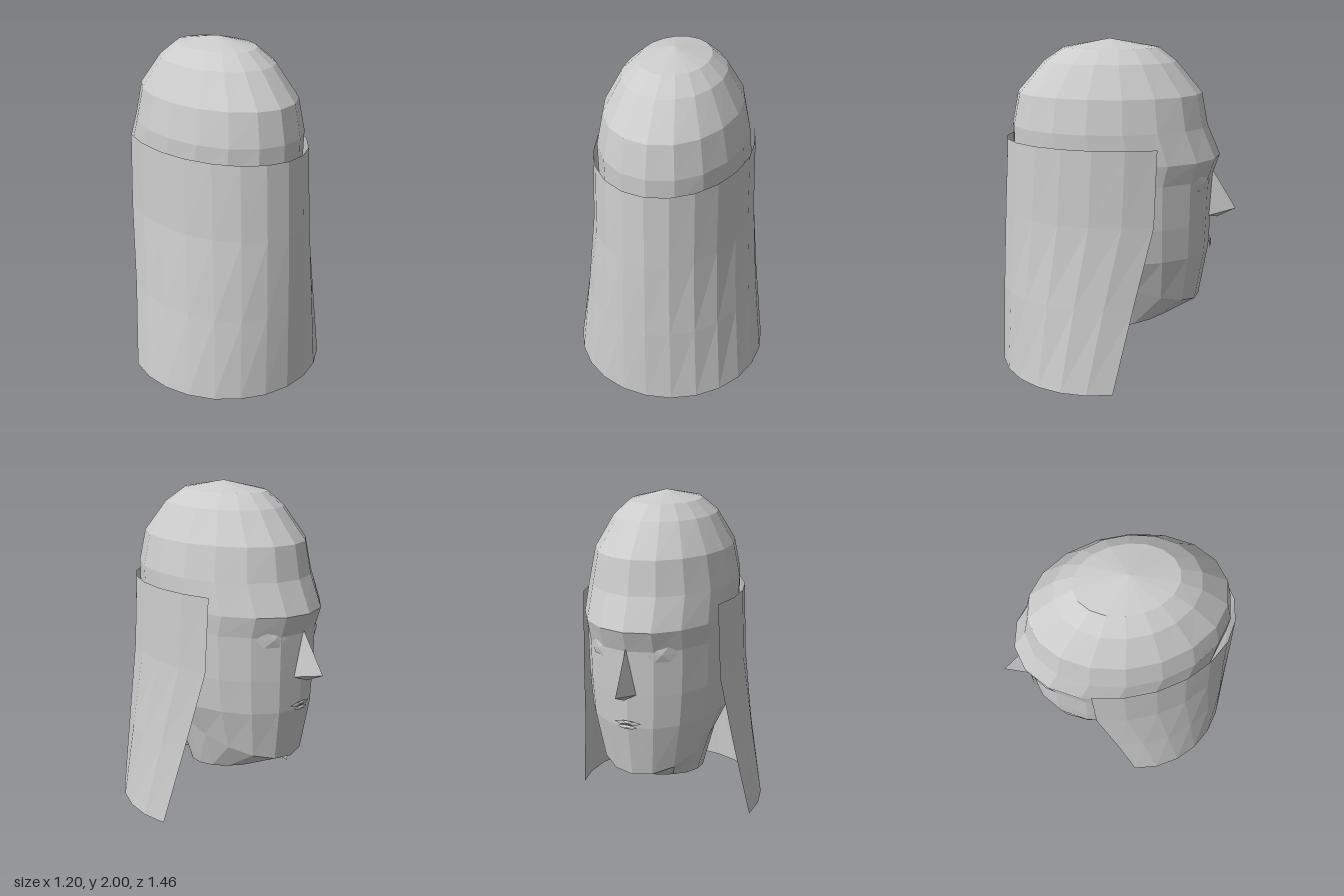
import * as THREE from 'three';

const stone = new THREE.MeshStandardMaterial({ color: 0xcccccc, side: THREE.DoubleSide, flatShading: true });
stone.name = 'pale grey';

// Joins rows of points (listed top to bottom, each running counter-clockwise from above)
function loft(name, rows) {
  const pos = [];
  for (let i = 0; i < rows.length - 1; i++) {
    for (let j = 0; j < rows[i].length - 1; j++) {
      const a = rows[i][j], b = rows[i][j + 1], c = rows[i + 1][j], d = rows[i + 1][j + 1];
      pos.push(...a, ...c, ...b, ...c, ...d, ...b);
    }
  }
  return solid(name, pos);
}

function solid(name, pos) {
  const g = new THREE.BufferGeometry();
  g.setAttribute('position', new THREE.Float32BufferAttribute(pos, 3));
  g.computeVertexNormals();
  const m = new THREE.Mesh(g, stone);
  m.name = name;
  return m;
}

// Elliptical row from -end to +end, measured from the +z side
function arc(rx, zMid, rz, end, n, height) {
  return Array.from({ length: n + 1 }, (_, k) => {
    const a = -end + (2 * end * k) / n;
    const z = zMid + rz * Math.cos(a);
    return [rx * Math.sin(a), height(z), z];
  });
}

// Depth of the face surface at a given x
const faceZ = (x) => 0.02 - 0.6 * Math.sqrt(1 - (x / 0.43) ** 2);

// Thin almond plate with a slightly raised centre, laid over the face
function almond(name, cx, cy, w, h, lift) {
  const pts = [[-1, 0], [-0.5, 0.8], [0.4, 1], [1, 0], [0.5, -1], [-0.5, -1]]
    .map(([u, v]) => [cx + u * w, cy + v * h, faceZ(cx + u * w) - 0.003]);
  const mid = [cx, cy, faceZ(cx) - lift];
  const pos = [];
  pts.forEach((p, i) => pos.push(...mid, ...p, ...pts[(i + 1) % pts.length]));
  return solid(name, pos);
}

export function createModel() {
  const model = new THREE.Group();

  // Head: y, half width, front z, back z, with an optional tilt for the jaw and neck
  const rings = [
    [2, 0, 0.04, 0.04], [1.95, 0.2, -0.25, 0.31], [1.87, 0.29, -0.355, 0.43],
    [1.69, 0.39, -0.508, 0.59], [1.5, 0.43, -0.545, 0.63], [1.32, 0.438, -0.625, 0.63],
    [1.2, 0.435, -0.585, 0.62], [0.94, 0.43, -0.58, 0.6], [0.74, 0.41, -0.572, 0.56],
    [0.42, 0.34, -0.52, 0.42, 0.32], [0.355, 0.27, -0.37, 0.24, -0.18], [0.3, 0, -0.065, -0.065],
  ];
  const headRows = rings.map(([y, rx, zf, zb, tilt = 0]) =>
    arc(rx, (zf + zb) / 2, (zb - zf) / 2, Math.PI, 18, (z) => y + tilt * (z - zf)));
  model.add(loft('head', headRows));

  // Long hair sheet, open at the face: y, half width, centre z, depth, end angle
  const hairRows = [
    [1.42, 0.46, 0.02, 0.645, 115], [0.98, 0.477, 0.03, 0.663, 114],
    [0.5, 0.53, 0.08, 0.635, 109], [0, 0.6, 0.13, 0.6, 104],
  ].map(([y, rx, c, rz, deg]) => arc(rx, c, rz, THREE.MathUtils.degToRad(deg), 14, () => y));
  model.add(loft('hair', hairRows));

  // Nose: a narrow pyramid
  const bridge = [0, 1.23, -0.58], tip = [0, 0.98, -0.732], base = [0, 0.925, -0.62];
  const wingL = [0.052, 0.945, -0.565], wingR = [-0.052, 0.945, -0.565];
  model.add(solid('nose', [
    ...bridge, ...wingL, ...tip, ...bridge, ...tip, ...wingR,
    ...tip, ...wingL, ...base, ...tip, ...base, ...wingR,
  ]));

  // Eyes
  for (const s of [1, -1]) {
    model.add(almond(s > 0 ? 'leftEye' : 'rightEye', s * 0.19, 1.185, 0.075 * s, 0.045, 0.012));
  }

  // Lips
  model.add(almond('upperLip', 0, 0.775, 0.085, 0.013, 0.01));
  model.add(almond('lowerLip', 0, 0.75, 0.06, 0.012, 0.01));
  return model;
}
